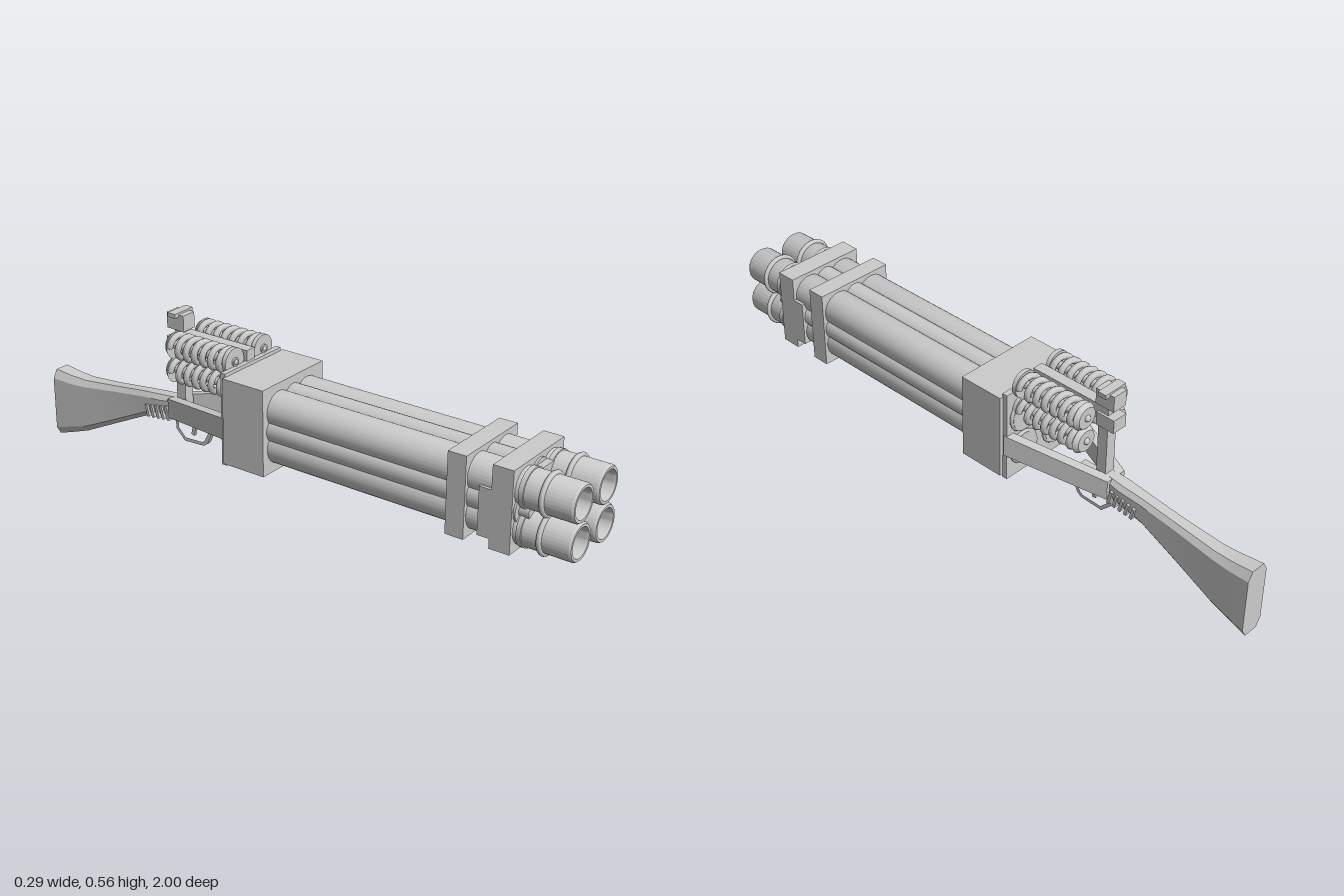
import * as THREE from 'three';
import { toCreasedNormals } from 'three/addons/utils/BufferGeometryUtils.js';

const steel = new THREE.MeshStandardMaterial({ color: 0xcccccc });
steel.name = 'grey steel';

const BX = 0.069, BY = [0.376, 0.259]; // barrel centres

export function createModel() {
  const model = new THREE.Group();
  model.name = 'fourBarrelGun';

  const add = (name, geo, x = 0, y = 0, z = 0) => {
    const m = new THREE.Mesh(geo, steel);
    m.name = name;
    m.position.set(x, y, z);
    model.add(m);
    return m;
  };
  // box given by its limits
  const box = (name, x0, x1, y0, y1, z0, z1) =>
    add(name, new THREE.BoxGeometry(x1 - x0, y1 - y0, z1 - z0), (x0 + x1) / 2, (y0 + y1) / 2, (z0 + z1) / 2);
  // cylinder along z
  const rod = (name, r, x, y, z0, z1, r1 = r, seg = 24) =>
    add(name, new THREE.CylinderGeometry(r1, r, z1 - z0, seg).rotateX(Math.PI / 2), x, y, (z0 + z1) / 2);
  // turned part along z, profile of [radius, z]
  const turned = (name, profile, x, y, seg = 32) => {
    const g = new THREE.LatheGeometry(profile.map(p => new THREE.Vector2(...p)), seg).rotateX(Math.PI / 2);
    return add(name, toCreasedNormals(g, 0.6), x, y);
  };
  // skin over equal-length sections running towards -z, corners counterclockwise
  const loft = (name, sections) => {
    const n = sections[0].length, pos = [], idx = [];
    sections.forEach(s => s.forEach(p => pos.push(...p)));
    for (let i = 0; i < sections.length - 1; i++)
      for (let j = 0; j < n; j++) {
        const a = i * n + j, b = i * n + (j + 1) % n, c = a + n, d = b + n;
        idx.push(a, c, b, b, c, d);
      }
    const e = (sections.length - 1) * n;
    for (let j = 1; j < n - 1; j++) idx.push(0, j, j + 1, e, e + j + 1, e + j);
    const g = new THREE.BufferGeometry();
    g.setAttribute('position', new THREE.Float32BufferAttribute(pos, 3));
    g.setIndex(idx);
    return add(name, toCreasedNormals(g, 0.5));
  };

  // barrels with open bores, muzzle rings and loaded shells
  for (const x of [-BX, BX])
    for (const y of BY) {
      turned('barrel', [[0.058, -0.05], [0.058, 0.994], [0.054, 1], [0.046, 1], [0.043, 0.99], [0.043, 0.8]], x, y);
      add('muzzleRing', new THREE.TorusGeometry(0.06, 0.008, 8, 32), x, y, 0.905);
      add('shell', new THREE.SphereGeometry(0.043, 24, 16), x, y, 0.83);
      rod('barrelCollar', 0.062, x, y, 0.835, 0.85);
      rod('rearBarrelCap', 0.05, x, y, -0.2, -0.18);
      add('rearBarrelRing', new THREE.TorusGeometry(0.05, 0.007, 6, 24), x, y, -0.193);
    }

  // filler tubes between the barrels
  for (const s of [-1, 1]) {
    rod('sideTube', 0.042, s * 0.088, 0.317, -0.03, 0.83);
    rod('sidePin', 0.024, s * 0.088, 0.317, 0.83, 0.862);
    rod('middleTube', 0.04, 0, 0.317 + s * 0.078, -0.03, 0.83);
    box('middleTab', -0.03, 0.03, 0.317 + s * 0.08 - 0.025, 0.317 + s * 0.08 + 0.025, 0.82, 0.852);
  }
  rod('centreSpindle', 0.03, 0, 0.317, -0.03, 0.95);

  // clamps, each a plate with four barrel holes
  const clamp = (z0, z1) => {
    const s = new THREE.Shape();
    s.moveTo(-0.136, 0.19).lineTo(0.136, 0.19).lineTo(0.136, 0.446).lineTo(-0.136, 0.446).closePath();
    for (const x of [-BX, BX])
      for (const y of BY) {
        const h = new THREE.Path();
        h.absarc(x, y, 0.0565, 0, Math.PI * 2, true);
        s.holes.push(h);
      }
    add('clamp', new THREE.ExtrudeGeometry(s, { depth: z1 - z0, bevelEnabled: false, curveSegments: 16 }), 0, 0, z0);
  };
  clamp(0.615, 0.675);
  clamp(0.757, 0.823);
  for (const s of [-1, 1]) {
    const a = s * 0.136, b = s * 0.115;
    box('clampSidePlate', Math.min(a, b), Math.max(a, b), 0.22, 0.37, 0.718, 0.76);
  }

  // receiver
  box('receiver', -0.147, 0.147, 0.178, 0.459, -0.172, -0.018);
  box('receiverBackPlate', -0.135, 0.135, 0.167, 0.47, -0.188, -0.17);

  // recoil springs
  class Helix extends THREE.Curve {
    getPoint(t, v = new THREE.Vector3()) {
      const a = t * Math.PI * 2 * 6.5;
      return v.set(Math.cos(a) * 0.034, Math.sin(a) * 0.034, -0.205 - t * 0.21);
    }
  }
  const coil = new THREE.TubeGeometry(new Helix(), 156, 0.0105, 8);
  for (const x of [-BX, BX])
    for (const y of [0.484, 0.404]) {
      add('spring', coil, x, y);
      rod('springRod', 0.014, x, y, -0.43, -0.18, 0.014, 12);
      rod('springFrontSeat', 0.044, x, y, -0.2, -0.186);
      rod('springRearSeat', 0.034, x, y, -0.434, -0.42, 0.044);
      add('springBolt', new THREE.SphereGeometry(0.011, 12, 8), x, y, -0.434);
      add('springFrontBolt', new THREE.SphereGeometry(0.011, 12, 8), x, y, -0.186);
    }

  // spine and sight
  box('spineBar', -0.018, 0.018, 0.455, 0.505, -0.44, -0.18);
  box('rearPost', -0.018, 0.018, 0.205, 0.53, -0.467, -0.432);
  box('lowerSightBlock', -0.026, 0.026, 0.438, 0.482, -0.495, -0.43);
  box('upperSightBlock', -0.026, 0.026, 0.51, 0.562, -0.492, -0.425);
  box('sightPlate', -0.042, 0.042, 0.554, 0.568, -0.475, -0.445);

  // arms joining the receiver to the stock
  for (const s of [-1, 1]) {
    const section = (x, y0, y1, z) => {
      const a = s * x - 0.015, b = s * x + 0.015;
      return [[a, y0, z], [b, y0, z], [b, y1, z], [a, y1, z]];
    };
    loft('stockArm', [section(0.125, 0.255, 0.325, -0.18), section(0.022, 0.205, 0.27, -0.492)]);
  }

  // shoulder stock: [z, bottom, top, half width, corner cut]
  const stock = [
    [-0.45, 0.205, 0.275, 0.024, 0.012], [-0.53, 0.195, 0.268, 0.03, 0.016],
    [-0.61, 0.172, 0.26, 0.027, 0.016], [-0.74, 0.11, 0.244, 0.028, 0.017],
    [-0.87, 0.048, 0.231, 0.034, 0.02], [-0.93, 0.027, 0.233, 0.038, 0.024], [-1, 0.004, 0.24, 0.041, 0.028]
  ].map(([z, b, t, w, c]) => {
    const i = w * 0.6;
    return [[-i, b, z], [i, b, z], [w, b + c, z], [w, t - c, z], [i, t, z], [-i, t, z], [-w, t - c, z], [-w, b + c, z]];
  });
  loft('stock', stock);

  // grip ribs
  for (let i = 0; i < 5; i++) {
    const rib = box('gripRib', -0.036, 0.036, 0.192 - i * 0.002, 0.24 - i * 0.004, -0.505 - i * 0.021, -0.495 - i * 0.021);
    rib.rotation.x = -0.25;
  }

  // trigger guard loop and trigger
  const outline = [[-0.325, 0.205], [-0.355, 0.14], [-0.37, 0.129], [-0.45, 0.125], [-0.485, 0.16], [-0.485, 0.205]];
  const inner = [[-0.342, 0.195], [-0.366, 0.148], [-0.377, 0.14], [-0.446, 0.137], [-0.473, 0.165], [-0.473, 0.195]];
  const v2 = list => list.map(p => new THREE.Vector2(...p));
  const guard = new THREE.Shape(v2(outline));
  guard.holes.push(new THREE.Path(v2(inner)));
  add('triggerGuard', new THREE.ExtrudeGeometry(guard, { depth: 0.016, bevelEnabled: false })
    .translate(0, 0, -0.008).rotateY(-Math.PI / 2));
  box('trigger', -0.005, 0.005, 0.152, 0.215, -0.418, -0.405).rotation.x = 0.2;
  box('triggerHousing', -0.018, 0.018, 0.2, 0.25, -0.47, -0.36);

  return model;
}
